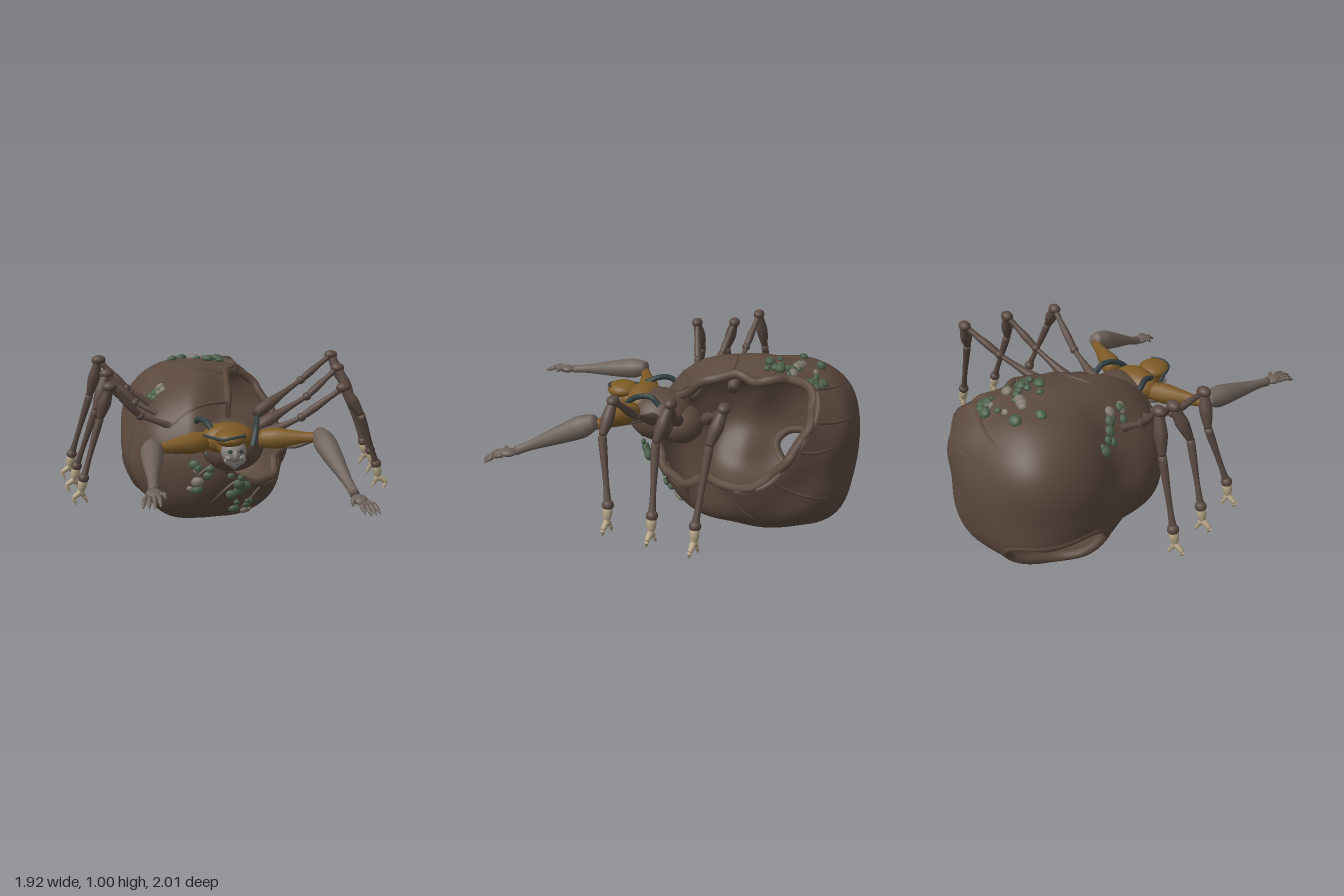
import * as THREE from 'three';

const V = (x, y, z) => new THREE.Vector3(x, y, z);
const mat = (name, color) => Object.assign(new THREE.MeshStandardMaterial({ color }), { name });

const CENTRE = V(-0.08, 0.455, -0.4);
const toward = (x, y, z) => V(x, y, z).sub(CENTRE).normalize();
// bumps (+) and dents (-) of the shell: direction, amount, angular width
const BUMPS = [
  [toward(-0.54, 0.13, -0.28), -0.06, 0.32],
  [toward(-0.6, 0.55, -0.33), -0.05, 0.38],
  [toward(-0.52, 0.8, -0.35), -0.06, 0.4],
  [toward(0.33, 0.42, -0.88), -0.06, 0.33],
  [toward(-0.05, 0.04, -0.92), 0.045, 0.32],
];

// distance from the shell centre to its outside, by direction
function shellRadius(d) {
  const corner = (d.x < 0 && d.z < 0 ? 0.8 * d.x * d.z : 0) + (d.x < 0 && d.y < 0 ? d.x * d.y : 0);
  const n = 2.3 - 0.5 * d.z + corner;
  const s = Math.abs(d.x / 0.52) ** n + Math.abs(d.y / 0.455) ** n + Math.abs(d.z / 0.6) ** n;
  let r = s ** (-1 / n);
  for (const [b, a, w] of BUMPS) r += a * Math.exp(-((d.angleTo(b) / w) ** 2));
  return r + 0.008 * Math.sin(7 * d.x + 4 * d.z) * Math.sin(6 * d.y + 5 * d.z);
}
const onShell = (d, lift) => CENTRE.clone().addScaledVector(d, shellRadius(d) + lift);

function slerp(a, b, t) {
  const w = a.angleTo(b), s = Math.sin(w);
  return a.clone().multiplyScalar(Math.sin((1 - t) * w) / s).addScaledVector(b, Math.sin(t * w) / s).normalize();
}

// rim of the shell opening, and the pole of the shell opposite to it
const RIM = new THREE.CatmullRomCurve3([
  V(-0.02, 0.4, 0.15), V(0.12, 0.31, 0.05), V(0.29, 0.28, -0.12), V(0.34, 0.37, -0.27), V(0.43, 0.37, -0.46),
  V(0.42, 0.43, -0.61), V(0.36, 0.57, -0.72), V(0.25, 0.74, -0.81), V(0.13, 0.84, -0.79), V(0.06, 0.885, -0.66),
  V(0.11, 0.875, -0.5), V(0.03, 0.87, -0.36), V(0.01, 0.79, -0.15), V(-0.03, 0.67, 0.03), V(-0.08, 0.53, 0.15),
], true);
const POLE = RIM.getSpacedPoints(96).reduce((s, p) => s.add(p).sub(CENTRE), V(0, 0, 0)).normalize().negate();

// broken-out hole low on the rear right: an oval around a direction
const HOLE = toward(-0.46, 0.19, -0.72), HOLE_W = 0.5, HOLE_H = 0.28;
const HOLE_U = V(0, 1, 0).addScaledVector(HOLE, -HOLE.y).normalize();
const HOLE_T = HOLE_U.clone().cross(HOLE);
const holeEdge = a => HOLE.clone().addScaledVector(HOLE_T, HOLE_W * Math.cos(a))
  .addScaledVector(HOLE_U, HOLE_H * Math.sin(a) * (1 + 0.12 * Math.sin(3 * a))).normalize();
function inHole(p) {
  const d = p.clone().sub(CENTRE), k = d.dot(HOLE);
  return k > 0 && Math.hypot(d.dot(HOLE_T) / k / HOLE_W, d.dot(HOLE_U) / k / HOLE_H) < 1;
}

// shell point: t runs from the rim point (0) to the pole (1)
function shellPoint(rimPoint, t, lift) {
  const rel = rimPoint.clone().sub(CENTRE);
  const d = slerp(rel.clone().normalize(), POLE, Math.min(t, 0.9999));
  const r = THREE.MathUtils.lerp(rel.length(), shellRadius(d), THREE.MathUtils.smoothstep(t, 0, 0.22));
  return CENTRE.clone().addScaledVector(d, r + lift);
}

// hollow shell: outside from the pole to the rim, then the lining back to the pole
function shellGeometry() {
  const N = 144, M = 64, rim = RIM.getSpacedPoints(N).slice(0, N);
  const pts = [], idx = [];
  for (let i = 0; i <= 2 * M + 1; i++) {
    const inner = i > M, t = inner ? (i - M - 1) / M : 1 - i / M;
    for (let j = 0; j < N; j++) pts.push(shellPoint(rim[j], t, inner ? -0.04 : 0));
  }
  for (let i = 0; i < 2 * M + 1; i++) for (let j = 0; j < N; j++) {
    const a = i * N + j, c = i * N + (j + 1) % N, b = a + N, d = c + N;
    if (!inHole(pts[a].clone().lerp(pts[d], 0.5))) idx.push(a, c, b, b, c, d);
  }
  const g = new THREE.BufferGeometry().setFromPoints(pts);
  g.setIndex(idx);
  g.computeVertexNormals();
  return g;
}

export function createModel() {
  const root = new THREE.Group();
  const shellMat = mat('shell brown', 0x5a483d), legMat = mat('leg brown', 0x594840);
  const ochre = mat('ochre', 0x7d5a26), skin = mat('grey skin', 0x6e625a), claw = mat('claw bone', 0xb3a385);
  const green = mat('moss green', 0x4a5f4a), paleMat = mat('pale fungus', 0x7f776c);
  const dark = mat('dark teal', 0x323f40), faceMat = mat('face grey', 0x85807b);

  const add = (name, geo, m, parent = root) => {
    const mesh = new THREE.Mesh(geo, m);
    mesh.name = name;
    parent.add(mesh);
    return mesh;
  };
  const ball = (name, p, sx, sy, sz, m, parent, seg = 20) => {
    const b = add(name, new THREE.SphereGeometry(1, seg, Math.ceil(seg * 0.7)), m, parent);
    b.position.copy(p);
    b.scale.set(sx, sy, sz);
    return b;
  };
  // turned limb piece from a to b, with radii spread evenly along it
  const bone = (name, a, b, radii, m, parent) => {
    const len = a.distanceTo(b), k = radii.length - 1;
    const pts = new THREE.SplineCurve(radii.map((r, i) => new THREE.Vector2(r, len * i / k))).getPoints(k * 3);
    pts.forEach(p => { p.x = Math.max(p.x, 0.0005); });
    const profile = [new THREE.Vector2(0, 0), ...pts, new THREE.Vector2(0, len)];
    const mesh = add(name, new THREE.LatheGeometry(profile, 12), m, parent);
    mesh.position.copy(a);
    mesh.quaternion.setFromUnitVectors(V(0, 1, 0), b.clone().sub(a).normalize());
  };
  const tube = (name, pts, r, m, parent) =>
    add(name, new THREE.TubeGeometry(new THREE.CatmullRomCurve3(pts), 24, r, 8), m, parent);
  const ring = (name, pts, r, m) =>
    add(name, new THREE.TubeGeometry(new THREE.CatmullRomCurve3(pts, true), 220, r, 8, true), m);

  // shell with the rolled, uneven edges of its opening and hole
  add('shell', shellGeometry(), shellMat);
  ring('shellRim', RIM.getSpacedPoints(44).slice(0, 44).map((p, i) =>
    p.lerp(CENTRE, 0.045 + 0.035 * Math.sin(i * 1.3) * Math.sin(i * 0.47))), 0.026, shellMat);
  ring('holeRim', Array.from({ length: 28 }, (_, i) => onShell(holeEdge(i / 28 * Math.PI * 2), -0.022)), 0.027, shellMat);

  // growth ribs running back from the rim and sinking into the shell
  [0.02, 0.1, 0.17, 0.27, 0.36, 0.43, 0.49, 0.56, 0.66, 0.74, 0.83, 0.9, 0.96].forEach((u, i) => {
    const length = 0.24 + 0.1 * Math.sin(i * 2.1);
    tube('growthRib', [0, 0.25, 0.5, 0.75, 1].map(s =>
      shellPoint(RIM.getPointAt((u + 0.03 * s * s) % 1), 0.02 + s * length, 0.002 - 0.011 * s)), 0.009, shellMat);
  });

  // fungus clusters: centre, spread, count
  let seed = 7;
  const rnd = () => (seed = (seed * 16807) % 2147483647) / 2147483647;
  [[[0.04, 0.9, -0.83], 0.08, 8], [[0.02, 0.91, -0.6], 0.09, 8], [[-0.16, 0.9, -0.62], 0.12, 10],
    [[-0.52, 0.72, -0.4], 0.06, 6], [[-0.38, 0.78, -0.28], 0.07, 8], [[-0.13, 0.42, 0.18], 0.11, 14],
    [[0, 0.34, 0.13], 0.06, 6], [[0.06, 0.16, 0.03], 0.08, 7]].forEach(([c, spread, count]) => {
    for (let i = 0; i < count; i++) {
      const d = toward(...c.map(v => v + (rnd() * 2 - 1) * spread));
      const s = 0.014 + 0.017 * rnd();
      const cap = ball('fungus', onShell(d, 0.004), s * 1.2, s * 0.75, s, rnd() < 0.2 ? paleMat : green, root, 10);
      cap.quaternion.setFromUnitVectors(V(0, 1, 0), d);
    }
  });

  // thorax, collar and head
  ball('thorax', V(-0.01, 0.56, 0.09), 0.18, 0.145, 0.18, shellMat, root, 32);
  ball('abdomen', V(0.0, 0.52, -0.03), 0.13, 0.11, 0.13, shellMat, root, 28);
  ball('collar', V(-0.045, 0.63, 0.195), 0.145, 0.085, 0.095, ochre, root, 32);
  const head = new THREE.Group();
  head.name = 'head';
  root.add(head);
  ball('hood', V(-0.05, 0.67, 0.325), 0.085, 0.045, 0.09, ochre, head, 28);
  ball('neck', V(-0.045, 0.62, 0.28), 0.075, 0.065, 0.07, ochre, head, 24);
  ball('face', V(-0.035, 0.6, 0.345), 0.068, 0.07, 0.06, faceMat, head, 24);
  for (const s of [-1, 1]) {
    ball('eye', V(-0.035 + s * 0.027, 0.615, 0.397), 0.014, 0.01, 0.008, dark, head, 10);
    ball('cheek', V(-0.035 + s * 0.035, 0.58, 0.388), 0.02, 0.016, 0.018, faceMat, head, 12);
  }
  bone('nose', V(-0.035, 0.625, 0.4), V(-0.035, 0.58, 0.415), [0.006, 0.014, 0.008], faceMat, head);
  for (let i = -3; i <= 3; i++) {
    bone('beardStrand', V(-0.035 + i * 0.016, 0.57, 0.38), V(-0.035 + i * 0.012, 0.505 + Math.abs(i) * 0.009, 0.37),
      [0.012, 0.011, 0.002], faceMat, head);
  }
  tube('browBand', [V(-0.19, 0.66, 0.22), V(-0.14, 0.67, 0.32), V(-0.1, 0.68, 0.395), V(-0.045, 0.69, 0.405), V(0.02, 0.69, 0.375)],
    0.008, dark, head);
  tube('leftStrap', [V(0.14, 0.67, 0.05), V(0.13, 0.71, 0.1), V(0.11, 0.69, 0.2), V(0.075, 0.6, 0.285)], 0.016, dark);
  tube('rightStrap', [V(-0.2, 0.68, 0.05), V(-0.19, 0.71, 0.09), V(-0.16, 0.715, 0.15), V(-0.135, 0.685, 0.22)], 0.016, dark);

  // arms: shoulder, swollen forearm, open hand
  const arm = (side, elbow, wrist, tip) => {
    const g = new THREE.Group();
    g.name = side > 0 ? 'leftArm' : 'rightArm';
    root.add(g);
    bone('upperArm', V(side * 0.14 - 0.01, 0.62, 0.2), elbow, [0.045, 0.058, 0.046, 0.032, 0.026], ochre, g);
    tube('armTendon', [V(side * 0.16, 0.58, 0.14), V(side * 0.3, 0.59, 0.28), elbow], 0.01, legMat, g);
    bone('forearm', elbow.clone().add(V(0, 0.025, -0.01)), wrist, [0.035, 0.06, 0.055, 0.046, 0.035, 0.026, 0.025], skin, g);
    const dir = tip.clone().sub(wrist), out = V(side, -0.1, 0);
    const palm = wrist.clone().addScaledVector(dir, 0.28);
    ball('palm', palm, 0.04, 0.022, 0.05, skin, g);
    for (let i = -2; i <= 2; i++) {
      const a = palm.clone().addScaledVector(out, i * 0.015).addScaledVector(dir, 0.1);
      const k = i === -2 ? 0.28 : 0.78 - 0.07 * Math.abs(i);
      const mid = palm.clone().addScaledVector(out, i * 0.023).addScaledVector(dir, k * 0.55).add(V(0, 0.008, 0));
      const end = palm.clone().addScaledVector(out, i * 0.027).addScaledVector(dir, k).add(V(0, -0.012, 0));
      bone('finger', a, mid, [0.013, 0.011, 0.011], skin, g);
      bone('fingertip', mid, end, [0.011, 0.01, 0.003], skin, g);
    }
  };
  arm(1, V(0.43, 0.645, 0.31), V(0.51, 0.475, 0.74), V(0.545, 0.44, 0.9));
  arm(-1, V(-0.46, 0.625, 0.33), V(-0.49, 0.58, 0.81), V(-0.495, 0.57, 0.99));

  // walking legs: hip, mid thigh, knee, shin swell, ankle
  const leg = (name, hip, mid, knee, swell, ankle) => {
    const g = new THREE.Group(), side = Math.sign(knee.x);
    g.name = name;
    root.add(g);
    bone('thigh', hip, mid, [0.03, 0.036, 0.024, 0.016, 0.014], legMat, g);
    ball('thighJoint', mid, 0.026, 0.024, 0.024, legMat, g, 14);
    bone('upperThigh', mid, knee, [0.018, 0.022, 0.016, 0.018], legMat, g);
    ball('knee', knee, 0.04, 0.028, 0.032, legMat, g, 16);
    bone('shinTop', knee, swell, [0.022, 0.028, 0.034, 0.028, 0.018], legMat, g);
    bone('shin', swell, ankle, [0.022, 0.02, 0.016, 0.015, 0.02], legMat, g);
    ball('ankle', ankle, 0.03, 0.028, 0.03, legMat, g, 14);
    const base = ankle.clone().add(V(side * 0.018, -0.08, 0));
    bone('clawBase', ankle, base, [0.018, 0.025, 0.023, 0.014], claw, g);
    for (const [dx, z] of [[0.035, 0.008], [-0.025, -0.008]]) {
      const bend = base.clone().add(V(side * (dx + 0.01), -0.03, z));
      bone('clawProng', base, bend, [0.017, 0.015, 0.011], claw, g);
      bone('clawTip', bend, bend.clone().add(V(-side * 0.02, -0.045, z)), [0.011, 0.008, 0.001], claw, g);
    }
  };
  leg('leftFrontLeg', V(0.13, 0.58, 0.07), V(0.38, 0.7, 0.1), V(0.6, 0.87, 0.14), V(0.7, 0.72, 0.165), V(0.82, 0.41, 0.1));
  leg('leftMiddleLeg', V(0.15, 0.6, -0.06), V(0.46, 0.76, -0.12), V(0.65, 0.91, -0.17), V(0.73, 0.73, -0.12), V(0.86, 0.41, -0.14));
  leg('leftRearLeg', V(0.18, 0.64, -0.22), V(0.48, 0.8, -0.36), V(0.68, 0.93, -0.44), V(0.75, 0.76, -0.39), V(0.88, 0.4, -0.36));
  leg('rightFrontLeg', V(-0.15, 0.58, 0.0), V(-0.5, 0.72, 0.01), V(-0.66, 0.9, 0.06), V(-0.72, 0.72, 0.04), V(-0.82, 0.41, 0.1));
  leg('rightMiddleLeg', V(-0.2, 0.6, -0.04), V(-0.52, 0.76, -0.13), V(-0.67, 0.92, -0.17), V(-0.74, 0.73, -0.11), V(-0.86, 0.4, -0.14));
  leg('rightRearLeg', V(-0.3, 0.63, -0.25), V(-0.56, 0.81, -0.27), V(-0.71, 0.97, -0.31), V(-0.77, 0.76, -0.34), V(-0.89, 0.4, -0.37));
  return root;
}
